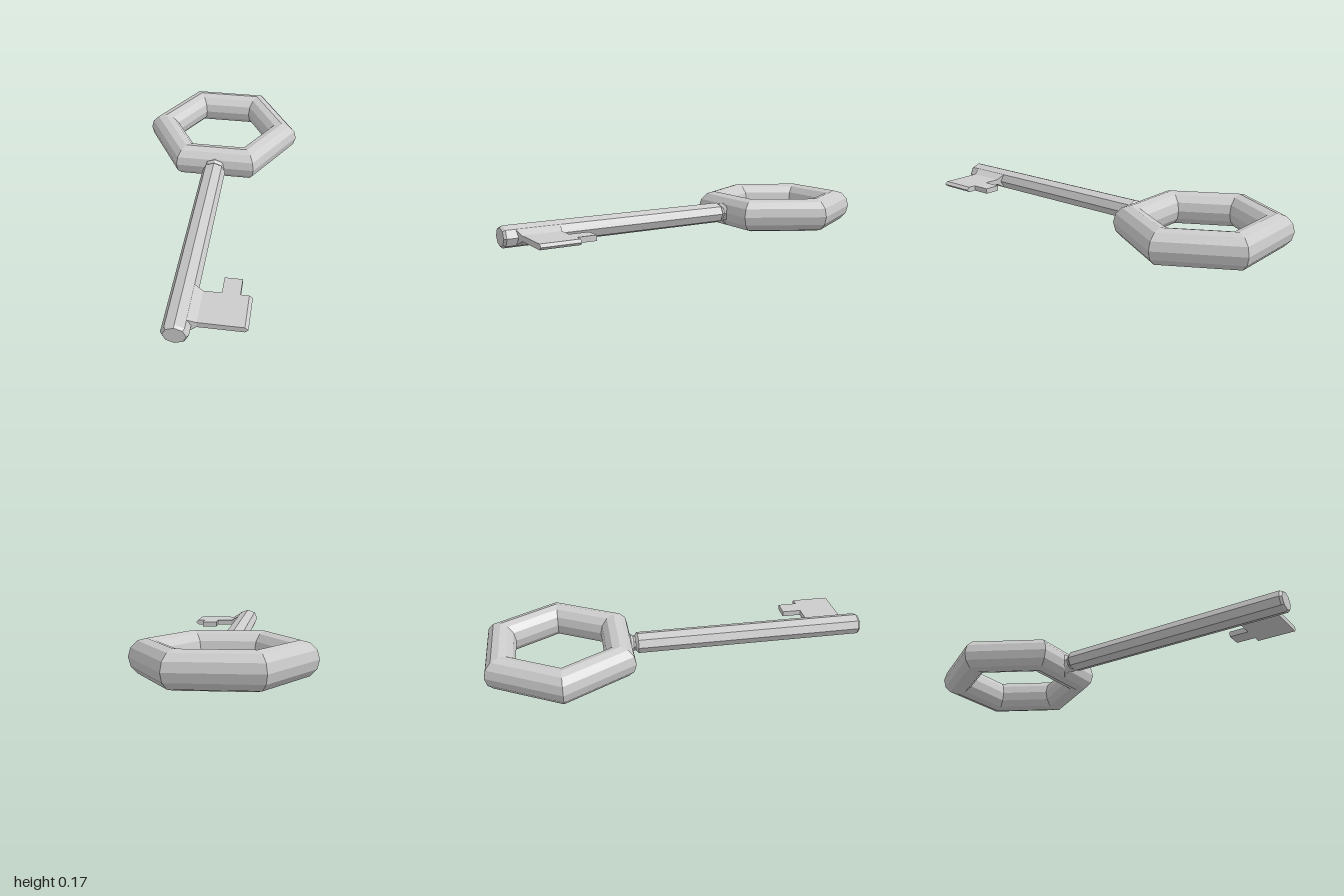
import * as THREE from 'three';

const MID = 0.0875; // height of the key's middle plane
const metal = new THREE.MeshStandardMaterial({ color: 0xcccccc, flatShading: true });

function part(name, geometry, x = 0, y = MID, z = 0) {
  const mesh = new THREE.Mesh(geometry, metal);
  mesh.name = name;
  mesh.position.set(x, y, z);
  return mesh;
}

// Octagonal shaft with a bevelled tip and a pinched neck flaring into the bow
function shaftGeometry() {
  const profile = [
    [0.055, -0.3], [0.058, -0.256], [0.045, -0.242], [0.045, -0.232],
    [0.063, -0.218], [0.063, 0.988], [0.053, 1], [0, 1],
  ].map(([r, z]) => new THREE.Vector2(r, z));
  const g = new THREE.LatheGeometry(profile, 8);
  g.rotateX(Math.PI / 2);
  g.scale(1, 0.86, 1);
  // The underside of the neck runs down onto the bow
  const p = g.attributes.position;
  for (let i = 0; i < p.count; i++) {
    if (p.getZ(i) < -0.29 && p.getY(i) < -0.045) p.setXYZ(i, p.getX(i), -0.077, -0.285);
  }
  return g;
}

// Thin blade with a pointed outer edge, extruded along the shaft
function bladeGeometry() {
  const outline = new THREE.Shape([
    [0.04, -0.014], [0.295, -0.014], [0.311, 0], [0.295, 0.014], [0.04, 0.014],
  ].map(([x, y]) => new THREE.Vector2(x, y)));
  return new THREE.ExtrudeGeometry(outline, { depth: 0.195, bevelEnabled: false });
}

// Wedge tapering from the shaft to the blade
function rootGeometry() {
  const g = new THREE.BoxGeometry(1, 1, 1);
  const p = g.attributes.position;
  for (let i = 0; i < p.count; i++) {
    const inner = p.getX(i) < 0;
    p.setXYZ(i, inner ? 0.04 : 0.085,
      p.getY(i) * (inner ? 0.08 : 0.028),
      p.getZ(i) * (inner ? 0.225 : 0.195));
  }
  return g;
}

export function createModel() {
  const key = new THREE.Group();
  key.name = 'key';

  // Six-sided ring handle
  const ring = new THREE.TorusGeometry(0.3455, MID, 12, 6);
  ring.rotateX(Math.PI / 2);
  key.add(part('bow', ring, 0, MID, -0.625));

  key.add(part('shaft', shaftGeometry()));

  // Bit: wedge, blade and tooth
  const bit = new THREE.Group();
  bit.name = 'bit';
  bit.add(
    part('bitRoot', rootGeometry(), 0, MID, 0.8275),
    part('bitBlade', bladeGeometry(), 0, MID, 0.73),
    part('bitTooth', new THREE.BoxGeometry(0.085, 0.028, 0.11), 0.2125, MID, 0.685),
  );
  key.add(bit);
  return key;
}
